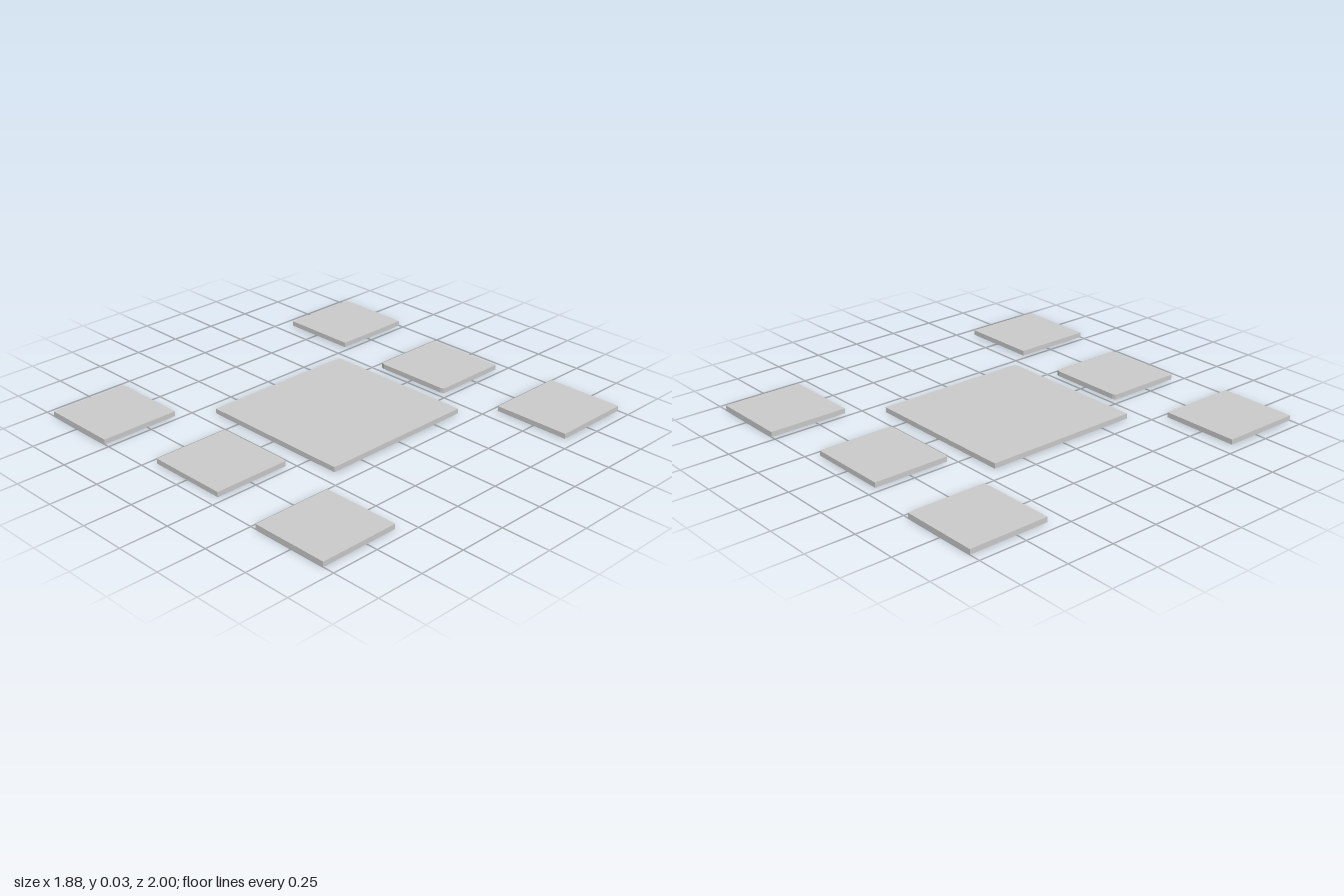
import * as THREE from 'three';

const THICKNESS = 0.026;
const material = new THREE.MeshStandardMaterial({ color: 0xcccccc, flatShading: true });

// Rectangular slab resting on the ground
function slab(name, width, depth, x, z) {
  const mesh = new THREE.Mesh(new THREE.BoxGeometry(width, THICKNESS, depth), material);
  mesh.name = name;
  mesh.position.set(x, THICKNESS / 2, z);
  return mesh;
}

// Slab whose inner edge (facing the centre) has slightly clipped corners
function clippedSlab(name) {
  const w = 0.214, inner = 0.532, outer = 0.94;
  const shape = new THREE.Shape([
    new THREE.Vector2(-w, -outer),
    new THREE.Vector2(w, -outer),
    new THREE.Vector2(w, -inner - 0.006),
    new THREE.Vector2(w - 0.018, -inner),
    new THREE.Vector2(-w + 0.018, -inner),
    new THREE.Vector2(-w, -inner - 0.006),
  ]);
  const geometry = new THREE.ExtrudeGeometry(shape, { depth: THICKNESS, bevelEnabled: false });
  geometry.rotateX(-Math.PI / 2);
  const mesh = new THREE.Mesh(geometry, material);
  mesh.name = name;
  return mesh;
}

export function createModel() {
  const model = new THREE.Group();
  model.name = 'slabSet';

  // Large middle slab
  model.add(slab('centreSlab', 0.823, 0.84, 0, 0));

  // Front and back rows: a corner slab on each side, a clipped slab between
  for (const [row, sz] of [['front', 1], ['back', -1]]) {
    for (const [side, sx] of [['Left', 1], ['Right', -1]]) {
      model.add(slab(`${row}${side}Slab`, 0.41, 0.42, sx * 0.735, sz * 0.79));
    }
    const middle = clippedSlab(`${row}MiddleSlab`);
    if (sz < 0) middle.rotation.y = Math.PI;
    model.add(middle);
  }
  return model;
}
